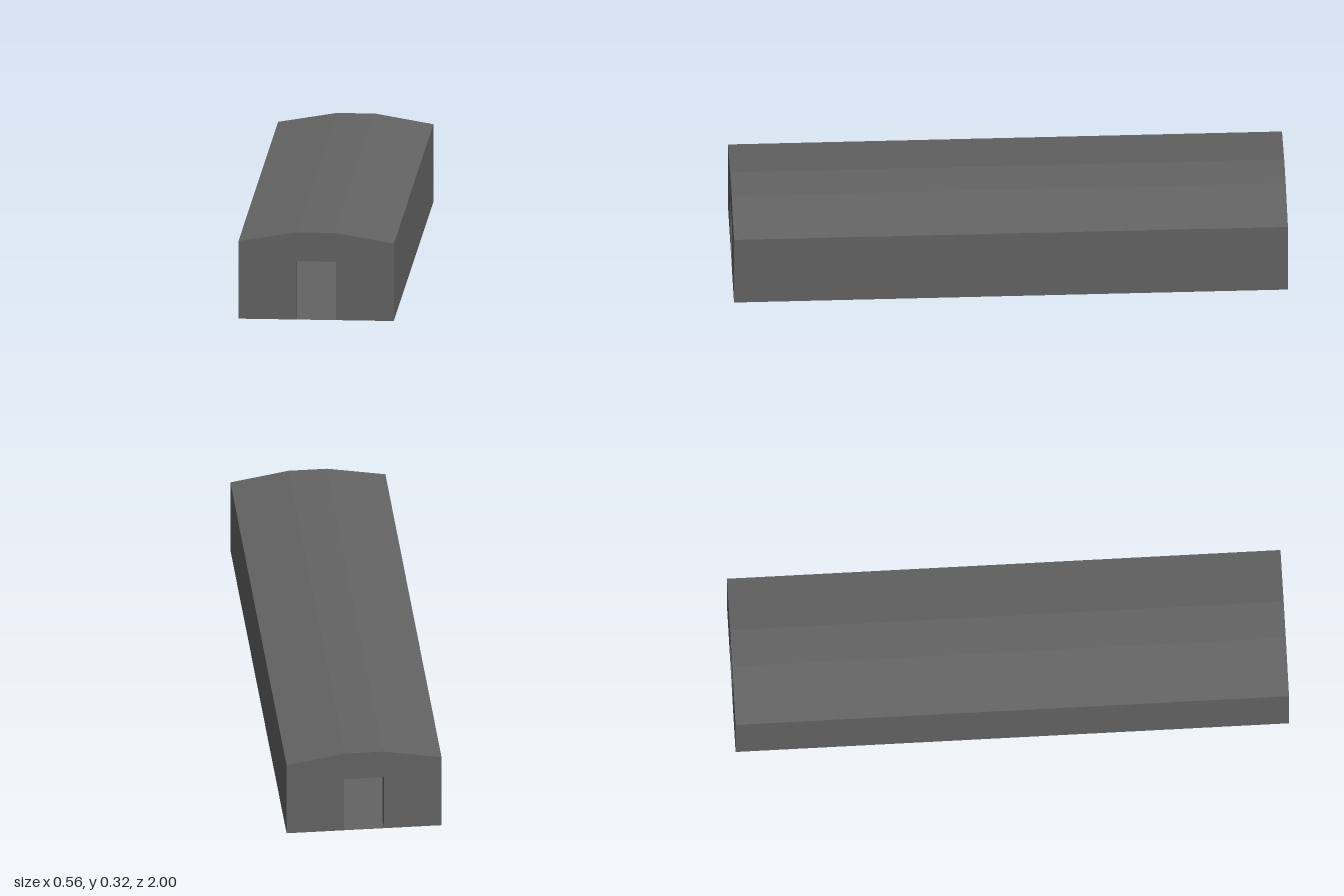
import * as THREE from 'three';

// Cross-sections, from the -x foot over the top to the +x foot
const mirror = (half) => [...half, ...half.map(([x, y]) => [-x, y]).reverse()];
const hall = mirror([[-0.281, 0], [-0.281, 0.286], [-0.07, 0.322]]);
const door = mirror([[-0.072, 0], [-0.072, 0.215]]);
const END = 1, REVEAL = 0.05;

// Flat-shaded panels along a polyline, facing the left of its direction
function strip(points, z0, z1) {
  const pos = [];
  for (let i = 0; i < points.length - 1; i++) {
    const [ax, ay] = points[i], [bx, by] = points[i + 1];
    pos.push(ax, ay, z1, bx, by, z1, bx, by, z0, ax, ay, z1, bx, by, z0, ax, ay, z0);
  }
  const geo = new THREE.BufferGeometry();
  geo.setAttribute('position', new THREE.Float32BufferAttribute(pos, 3));
  geo.computeVertexNormals();
  return geo;
}

export function createModel() {
  const group = new THREE.Group();
  // Every part is a thin skin seen from inside and outside
  const grey = new THREE.MeshStandardMaterial({ color: 0x646464, side: THREE.DoubleSide });
  grey.name = 'dark grey';
  const add = (name, geo, parent = group) => {
    const mesh = new THREE.Mesh(geo, grey);
    mesh.name = name;
    parent.add(mesh);
    return mesh;
  };

  // Long walls and roof
  add('wallsAndRoof', strip(hall, -END, END));

  // Two matching end walls, each with a doorway and its deep reveal
  const doorBack = [...door].reverse();
  const outline = [...hall, ...doorBack].map(([x, y]) => new THREE.Vector2(x, y));
  const gable = new THREE.ShapeGeometry(new THREE.Shape(outline));
  const reveal = strip(doorBack, END - REVEAL, END);
  for (const [name, turn] of [['frontWall', 0], ['backWall', Math.PI]]) {
    const wall = new THREE.Group();
    wall.name = name;
    add('gable', gable, wall).position.z = END;
    add('doorReveal', reveal, wall);
    wall.rotation.y = turn;
    group.add(wall);
  }

  // Floor
  add('floor', new THREE.PlaneGeometry(0.562, 2 * END)).rotation.x = -Math.PI / 2;
  return group;
}
